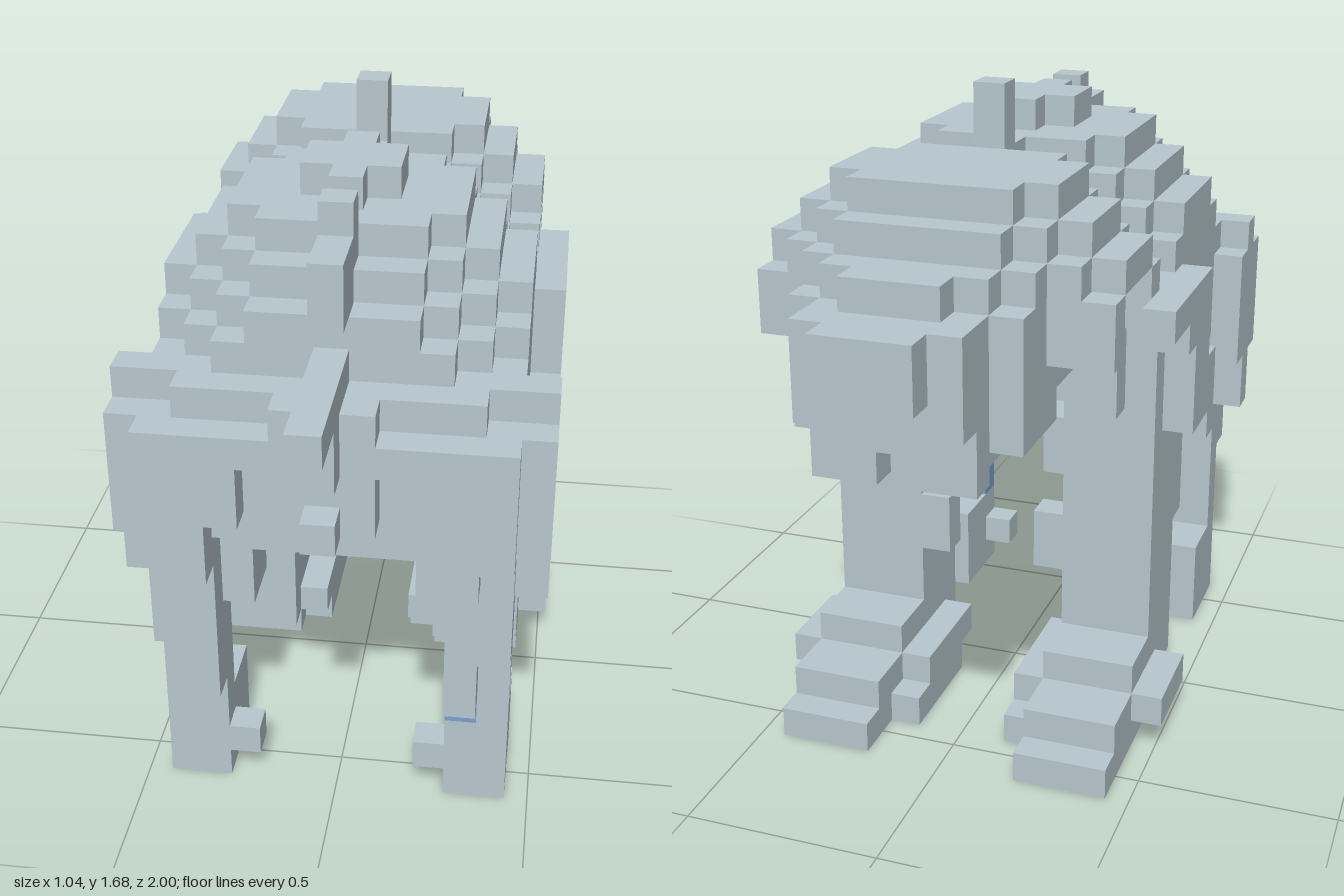
import * as THREE from 'three';

export function createModel() {
  const model = new THREE.Group();
  const grey = new THREE.MeshStandardMaterial({ color: 0xb7c8cf });
  grey.name = 'stone grey';
  const blue = new THREE.MeshStandardMaterial({ color: 0x7ba0d0 });
  blue.name = 'dull blue';

  // One block, given by its limits on each axis
  function block(parent, name, [x0, x1, y0, y1, z0, z1], material = grey) {
    const mesh = new THREE.Mesh(new THREE.BoxGeometry(x1 - x0, y1 - y0, z1 - z0), material);
    mesh.position.set((x0 + x1) / 2, (y0 + y1) / 2, (z0 + z1) / 2);
    mesh.name = name;
    parent.add(mesh);
  }
  function part(name) {
    const group = new THREE.Group();
    group.name = name;
    model.add(group);
    return group;
  }
  // Blocks centred on x: [half width, y0, y1, z0, z1]
  const centred = (group, name, rows) =>
    rows.forEach(([w, ...r]) => block(group, name, [-w, w, ...r]));
  // The same block on both sides
  function pair(group, name, rows) {
    for (const [x0, x1, ...r] of rows) {
      block(group, name, [x0, x1, ...r]);
      block(group, name, [-x1, -x0, ...r]);
    }
  }

  // Stepped trunk, narrowing towards the back ridge
  const body = part('body');
  centred(body, 'bodyTier', [
    [0.20, 0.72, 0.80, 0.12, 0.60],
    [0.28, 0.80, 0.88, 0.04, 0.68],
    [0.36, 0.88, 1.20, -0.20, 0.68],
    [0.44, 0.88, 1.20, -0.20, 0.60],
    [0.44, 1.20, 1.28, -0.04, 0.44],
    [0.36, 1.20, 1.28, -0.04, 0.52],
    [0.28, 1.20, 1.28, -0.04, 0.60],
    [0.44, 1.28, 1.36, 0.04, 0.36],
    [0.36, 1.28, 1.36, -0.04, 0.44],
    [0.28, 1.28, 1.36, -0.04, 0.52],
    [0.20, 1.28, 1.36, -0.04, 0.60],
    [0.36, 1.36, 1.44, 0.04, 0.36],
    [0.28, 1.36, 1.44, -0.04, 0.44],
    [0.20, 1.36, 1.44, -0.04, 0.52],
    [0.28, 1.44, 1.52, 0.04, 0.36],
    [0.20, 1.44, 1.52, -0.04, 0.44],
  ]);
  // Rump between the hips
  centred(body, 'rump', [
    [0.12, 0.88, 1.20, 0.60, 0.76],
    [0.44, 1.04, 1.12, 0.60, 0.76],
    [0.36, 1.12, 1.20, 0.60, 0.68],
  ]);
  block(body, 'blueSideBlock', [-0.44, -0.36, 0.80, 0.88, 0.20, 0.28], blue);

  // Valley between trunk and head
  centred(part('neck'), 'neckTier', [
    [0.36, 1.20, 1.28, -0.20, -0.04],
    [0.28, 1.28, 1.36, -0.20, -0.04],
    [0.20, 1.36, 1.44, -0.20, -0.04],
    [0.04, 1.44, 1.52, -0.20, -0.04],
  ]);

  // Ridge blocks and the tail
  centred(part('ridge'), 'ridgeBlock', [
    [0.04, 1.52, 1.60, 0.04, 0.36],
    [0.12, 1.52, 1.60, 0.12, 0.28],
    [0.04, 1.44, 1.60, 0.44, 0.52],
    [0.04, 1.36, 1.52, 0.52, 0.68],
    [0.04, 1.52, 1.68, -0.20, -0.12],
  ]);
  centred(part('tail'), 'tailBlock', [
    [0.04, 1.20, 1.28, 0.60, 1.00],
    [0.04, 1.04, 1.20, 0.76, 0.84],
    [0.04, 0.88, 0.96, 0.76, 0.84],
  ]);

  // Domed head and muzzle
  const head = part('head');
  centred(head, 'headTier', [
    [0.28, 1.44, 1.52, -0.52, -0.28],
    [0.20, 1.44, 1.52, -0.60, -0.20],
    [0.36, 1.36, 1.44, -0.52, -0.28],
    [0.28, 1.36, 1.44, -0.60, -0.20],
    [0.20, 1.36, 1.44, -0.68, -0.20],
    [0.36, 1.28, 1.36, -0.60, -0.20],
    [0.28, 1.28, 1.36, -0.68, -0.20],
    [0.20, 1.28, 1.36, -0.76, -0.20],
    [0.12, 1.28, 1.36, -0.84, -0.20],
    [0.36, 1.12, 1.28, -0.60, -0.20],
    [0.28, 1.12, 1.28, -0.76, -0.20],
    [0.20, 1.12, 1.28, -0.92, -0.20],
    [0.12, 1.12, 1.28, -1.00, -0.20],
    [0.28, 1.04, 1.12, -0.76, -0.20],
    [0.20, 1.04, 1.12, -0.92, -0.20],
    [0.20, 0.96, 1.04, -0.84, -0.20],
  ]);
  // Frame around the sunken eye sockets
  pair(head, 'brow', [[0.36, 0.44, 1.28, 1.36, -0.52, -0.28]]);
  pair(head, 'socketPost', [
    [0.36, 0.44, 1.12, 1.28, -0.60, -0.52],
    [0.36, 0.44, 1.12, 1.28, -0.28, -0.20],
  ]);
  pair(head, 'jaw', [[0.20, 0.28, 0.96, 1.04, -0.76, -0.52]]);
  pair(head, 'fang', [[0.04, 0.20, 0.88, 0.96, -0.84, -0.76]]);

  // Hips, skirts and shoulders
  const hips = part('hips');
  pair(hips, 'tailEndHip', [
    [0.44, 0.52, 0.80, 1.20, 0.52, 0.60],
    [0.44, 0.52, 0.80, 1.12, 0.44, 0.68],
    [0.44, 0.52, 0.64, 0.80, 0.52, 0.60],
    [0.28, 0.44, 0.80, 1.12, 0.44, 0.76],
    [0.20, 0.28, 0.88, 1.12, 0.44, 0.76],
    [0.28, 0.36, 0.72, 0.80, 0.60, 0.76],
  ]);
  pair(hips, 'headEndShoulder', [
    [0.44, 0.52, 0.80, 1.20, -0.12, 0.04],
    [0.44, 0.52, 0.80, 0.96, 0.04, 0.12],
    [0.44, 0.52, 1.04, 1.20, -0.20, -0.12],
    [0.44, 0.52, 1.12, 1.20, -0.36, -0.20],
  ]);

  // Legs under the head, with long stepped feet
  const headLegs = part('headEndLegs');
  pair(headLegs, 'leg', [
    [0.20, 0.44, 0.16, 0.96, -0.20, 0.04],
    [0.28, 0.44, 0.48, 0.88, 0.04, 0.12],
    [0.12, 0.20, 0.64, 0.80, -0.12, 0.04],
    [0.12, 0.20, 0.40, 0.56, -0.20, -0.12],
  ]);
  pair(headLegs, 'foot', [
    [0.20, 0.44, 0.00, 0.08, -0.60, -0.04],
    [0.20, 0.44, 0.08, 0.16, -0.52, 0.04],
    [0.20, 0.44, 0.16, 0.24, -0.36, -0.20],
    [0.12, 0.20, 0.00, 0.08, -0.44, -0.12],
    [0.12, 0.20, 0.08, 0.16, -0.36, -0.04],
    [0.44, 0.52, 0.08, 0.16, -0.36, -0.12],
  ]);

  // Thin legs under the tail, with block feet
  const tailLegs = part('tailEndLegs');
  pair(tailLegs, 'leg', [
    [0.20, 0.28, 0.56, 0.88, 0.44, 0.60],
    [0.28, 0.44, 0.56, 0.80, 0.44, 0.68],
    [0.28, 0.44, 0.48, 0.56, 0.52, 0.68],
    [0.28, 0.44, 0.32, 0.48, 0.52, 0.60],
    [0.28, 0.36, 0.32, 0.48, 0.60, 0.68],
    [0.36, 0.44, 0.24, 0.32, 0.52, 0.60],
  ]);
  pair(tailLegs, 'foot', [
    [0.28, 0.44, 0.00, 0.24, 0.36, 0.60],
    [0.20, 0.28, 0.08, 0.16, 0.52, 0.60],
  ]);
  block(tailLegs, 'ankle', [-0.36, -0.28, 0.24, 0.32, 0.52, 0.60]);
  block(tailLegs, 'blueAnkle', [0.28, 0.36, 0.24, 0.32, 0.52, 0.60], blue);

  // Blocks hanging beside the neck
  const hanging = part('hangingBlocks');
  block(hanging, 'greyHangingBlock', [-0.36, -0.28, 0.88, 1.12, -0.28, -0.20]);
  block(hanging, 'blueHangingBlock', [0.28, 0.36, 0.96, 1.12, -0.28, -0.20], blue);

  return model;
}
